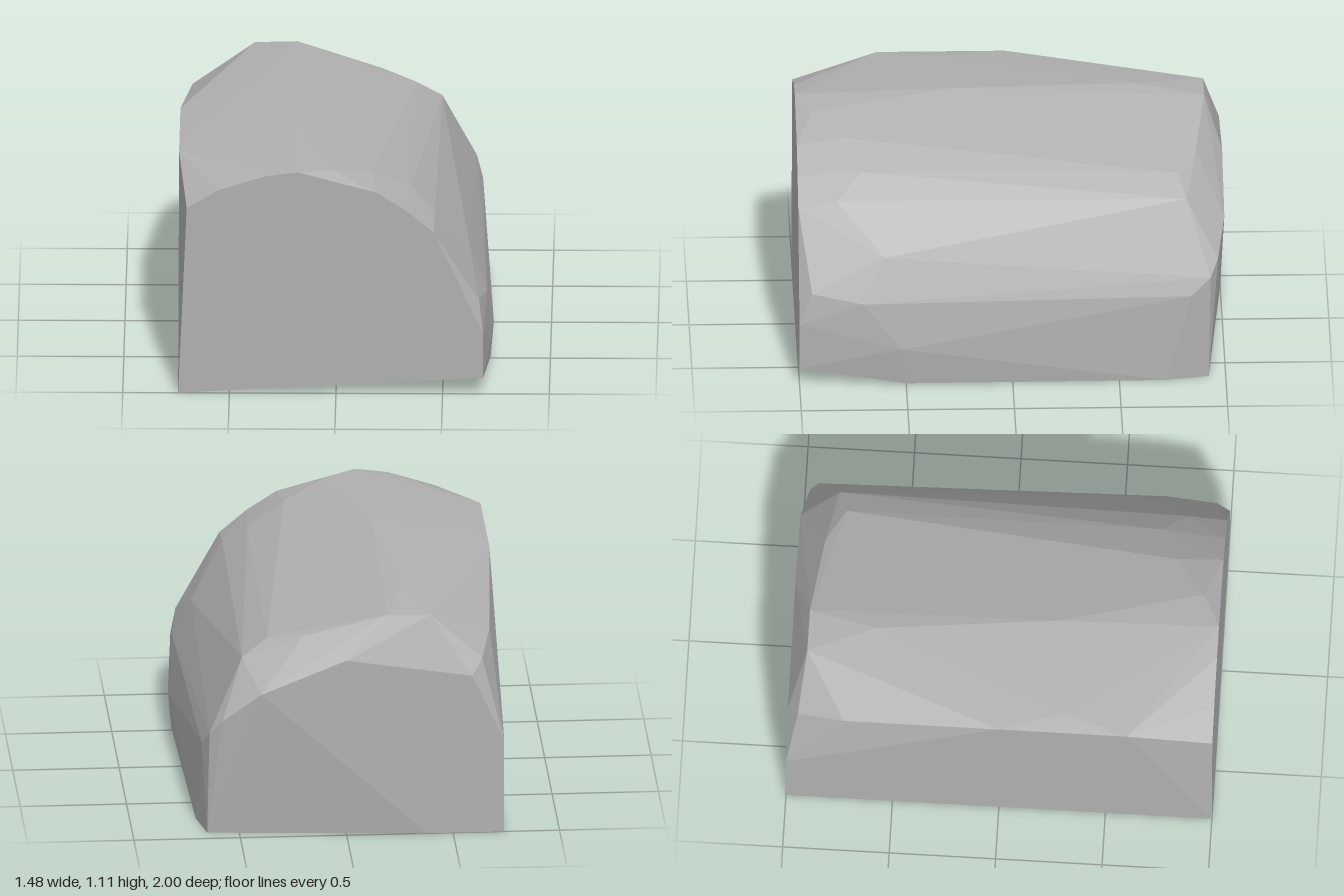
import * as THREE from 'three';
import { ConvexGeometry } from 'three/addons/geometries/ConvexGeometry.js';

// Corners of the stone, grouped by region, as [x, y, z]
const base = [
  [-0.74, 0, 1], [-0.74, 0, -1], [-0.38, 0, -1], [0.65, 0, -0.92],
  [0.69, 0, -0.72], [0.72, 0.01, 0.5], [0.69, 0, 0.5],
];
const frontFace = [
  [-0.7, 0.92, 1], [-0.55, 1.01, 1], [-0.33, 1.08, 1], [-0.18, 1.1, 1], [0.19, 1.0, 1],
  [0.33, 0.91, 1], [0.46, 0.8, 1], [0.69, 0.3, 1], [0.69, 0.08, 1],
];
const backFace = [
  [-0.74, 0.46, -1], [-0.59, 0.78, -1], [0, 0.87, -1], [0.4, 0.71, -1],
  [0.58, 0.57, -0.965], [0.64, 0.5, -0.93],
];
const backBevel = [
  [-0.69, 0.92, -0.73], [-0.64, 0.85, -0.95], [-0.4, 1.06, -0.92],
  [-0.2, 1.065, -0.92], [0.2, 0.95, -0.87],
];
const crown = [
  [-0.74, 1.06, 0.6], [-0.74, 1.06, 0], [-0.65, 1.077, 0.3], [-0.2, 1.113, 0.25],
  [-0.28, 1.092, -0.6], [-0.02, 1.085, 0.92], [0.17, 1.03, 0.78],
];
const shoulder = [
  [0.35, 0.93, 0.7], [0.36, 0.915, -0.78], [0.46, 0.83, 0.82], [0.48, 0.835, -0.82],
  [0.62, 0.61, 0.6], [0.67, 0.45, 0.94], [0.705, 0.41, 0.7], [0.67, 0.42, -0.84],
  [0.735, 0.19, 0.52],
];

export function createModel() {
  const group = new THREE.Group();
  group.name = 'boulder';

  const stoneGrey = new THREE.MeshStandardMaterial({ color: 0xb0b0b0, flatShading: true });
  stoneGrey.name = 'stone grey';

  // One chiselled convex block
  const corners = [base, frontFace, backFace, backBevel, crown, shoulder]
    .flat()
    .map((p) => new THREE.Vector3(...p));
  const stone = new THREE.Mesh(new ConvexGeometry(corners), stoneGrey);
  stone.name = 'stone';
  group.add(stone);
  return group;
}
